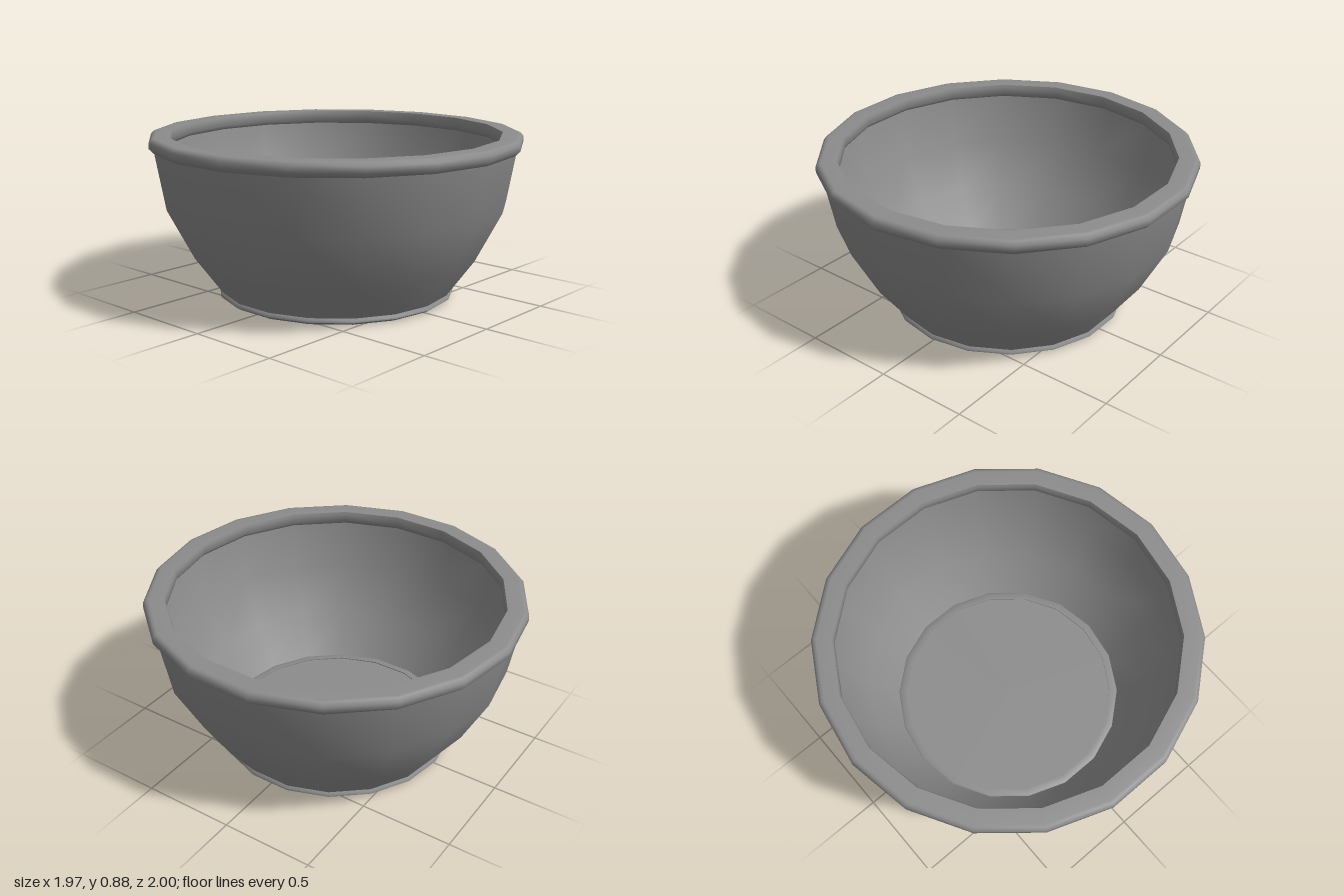
import * as THREE from 'three';
import { toCreasedNormals } from 'three/addons/utils/BufferGeometryUtils.js';

const SIDES = 18;

export function createModel() {
  const bowl = new THREE.Group();
  bowl.name = 'bowl';
  const grey = new THREE.MeshStandardMaterial({ color: 0x8c8c8c, side: THREE.DoubleSide });
  grey.name = 'grey';

  // Turns a [radius, height] profile around the y axis
  const turned = (name, profile, crease) => {
    let geometry = new THREE.LatheGeometry(profile.map(([r, y]) => new THREE.Vector2(r, y)), SIDES);
    if (crease) geometry = toCreasedNormals(geometry, crease);
    const mesh = new THREE.Mesh(geometry, grey);
    mesh.name = name;
    bowl.add(mesh);
  };

  // Thin curved side of the bowl
  turned('wall', [[0.63, 0.035], [0.78, 0.24], [0.92, 0.51], [0.975, 0.82]]);

  // Rounded lip with a flat top
  turned('rim', [
    [0.9, 0.81], [0.975, 0.81], [1, 0.835], [1, 0.865], [0.985, 0.883],
    [0.97, 0.885], [0.89, 0.885], [0.885, 0.87], [0.885, 0.83], [0.9, 0.81],
  ], 0.95);

  // Rounded foot ring
  turned('footRing', [
    [0.59, 0.003], [0.62, 0.003], [0.645, 0.018], [0.645, 0.028], [0.625, 0.045],
    [0.59, 0.045], [0.59, 0.003],
  ], 0.95);

  // Closed base inside the foot ring
  turned('base', [[0, 0], [0.59, 0], [0.59, 0.04], [0, 0.04]], 0.5);
  return bowl;
}
